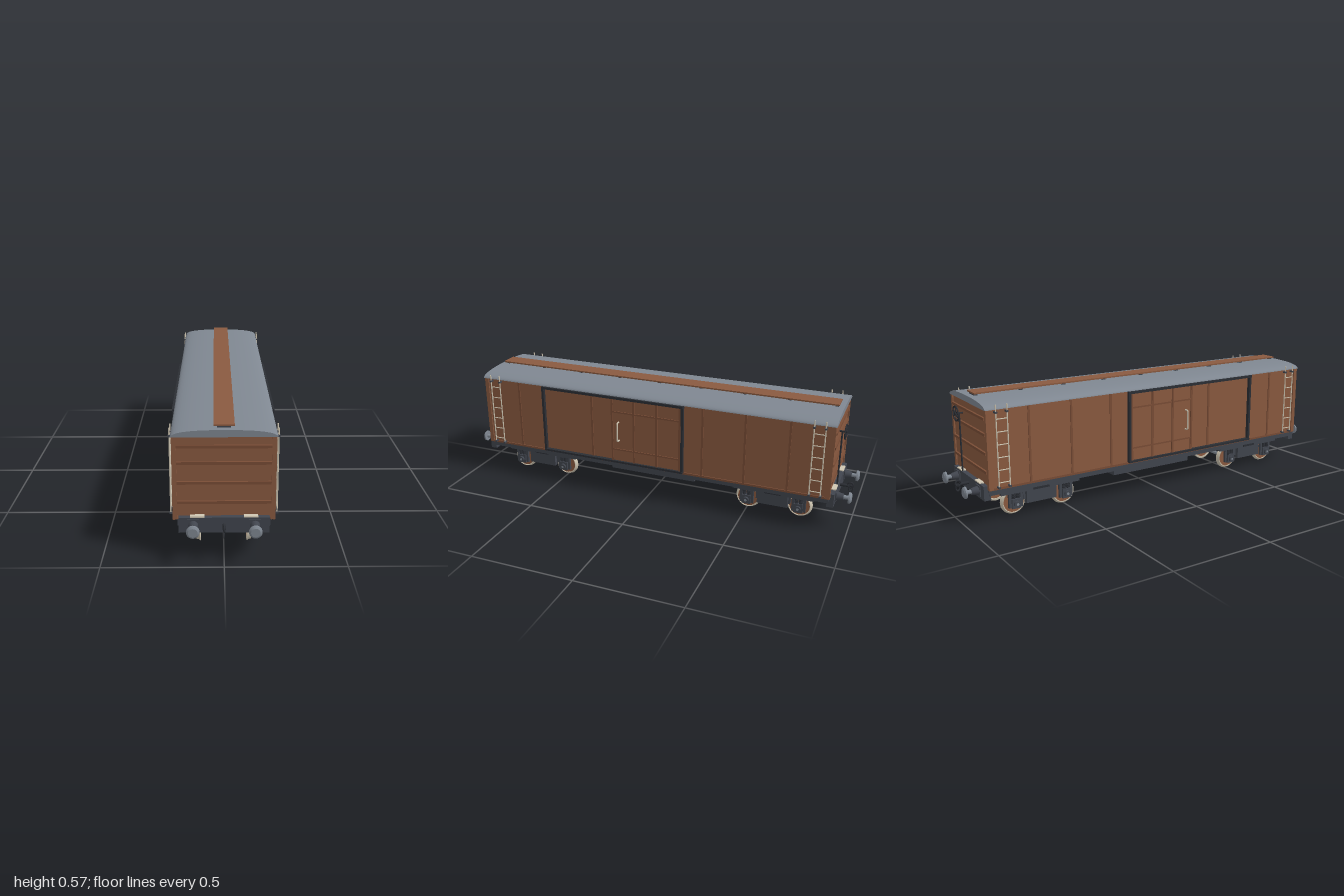
import * as THREE from 'three';

const mat = (name, color, side = THREE.FrontSide) => {
  const m = new THREE.MeshStandardMaterial({ color, side });
  m.name = name;
  return m;
};

export function createModel() {
  const brown = mat('wagon brown', 0x8a5a40);
  const trim = mat('rib brown', 0x7a4d36);
  const grey = mat('roof grey', 0x7f8791);
  const dark = mat('frame grey', 0x41454e);
  const black = mat('rail black', 0x2b2e34);
  const cream = mat('bare metal', 0xcfc6b2);

  const wagon = new THREE.Group();
  wagon.name = 'coveredWagon';

  const add = (parent, name, geo, material, x = 0, y = 0, z = 0) => {
    const m = new THREE.Mesh(geo, material);
    m.name = name;
    m.position.set(x, y, z);
    parent.add(m);
    return m;
  };
  // Box given by its minimum and maximum on each axis
  const box = (parent, name, material, x0, x1, y0, y1, z0, z1) =>
    add(parent, name, new THREE.BoxGeometry(Math.abs(x1 - x0), y1 - y0, Math.abs(z1 - z0)), material,
      (x0 + x1) / 2, (y0 + y1) / 2, (z0 + z1) / 2);
  // Cylinder along a chosen axis
  const rod = (parent, name, material, axis, r, len, x, y, z, r2 = r, seg = 20) => {
    const g = new THREE.CylinderGeometry(r2, r, len, seg);
    if (axis === 'x') g.rotateZ(-Math.PI / 2);
    if (axis === 'z') g.rotateX(Math.PI / 2);
    return add(parent, name, g, material, x, y, z);
  };
  const group = (parent, name) => {
    const g = new THREE.Group();
    g.name = name;
    parent.add(g);
    return g;
  };

  // Body and underframe
  box(wagon, 'body', brown, -0.203, 0.203, 0.168, 0.53, -0.905, 0.905);
  box(wagon, 'underframe', dark, -0.19, 0.19, 0.138, 0.168, -0.905, 0.905);
  box(wagon, 'equipmentBox', dark, -0.12, 0.12, 0.09, 0.139, -0.225, 0.23);

  // Curved roof
  const arc = new THREE.Shape();
  arc.moveTo(-0.213, 0.526);
  arc.lineTo(0.213, 0.526);
  arc.bezierCurveTo(0.209, 0.543, 0.16, 0.556, 0, 0.556);
  arc.bezierCurveTo(-0.16, 0.556, -0.209, 0.543, -0.213, 0.526);
  const roofGeo = new THREE.ExtrudeGeometry(arc, { depth: 1.83, bevelEnabled: false, curveSegments: 20 });
  add(wagon, 'roof', roofGeo, grey, 0, 0, -0.915);

  // Roof walkway on saddles
  box(wagon, 'walkway', brown, -0.042, 0.042, 0.564, 0.571, -0.893, 0.893);
  for (let i = -4; i <= 4; i++)
    box(wagon, 'walkwaySupport', dark, -0.028, 0.028, 0.553, 0.564, i * 0.22 - 0.008, i * 0.22 + 0.008);

  // Sides
  for (const s of [1, -1]) {
    const side = group(wagon, s > 0 ? 'leftSide' : 'rightSide');
    const sbox = (name, m, x0, x1, y0, y1, z0, z1) => box(side, name, m, s * x0, s * x1, y0, y1, z0, z1);
    sbox('sill', trim, 0.2, 0.208, 0.166, 0.176, -0.908, 0.908);
    for (const z of [0.71, 0.294, -0.29, -0.5, -0.71])
      sbox('sideRib', trim, 0.2, 0.207, 0.17, 0.528, z - 0.005, z + 0.005);

    // Door opening rails and sliding door
    sbox('doorTopRail', black, 0.2, 0.223, 0.514, 0.526, -0.196, 0.568);
    sbox('doorBottomRail', black, 0.2, 0.223, 0.174, 0.184, -0.196, 0.568);
    for (const z of [0.563, -0.191])
      sbox('doorPost', black, 0.2, 0.22, 0.174, 0.526, z - 0.006, z + 0.006);
    sbox('slidingDoor', brown, 0.2, 0.212, 0.184, 0.514, -0.186, 0.182);
    for (const z of [0.178, 0.062, -0.058, -0.178])
      sbox('doorRib', trim, 0.205, 0.217, 0.184, 0.514, z - 0.005, z + 0.005);
    for (const y of [0.245, 0.445])
      sbox('doorCrossRib', trim, 0.205, 0.216, y - 0.004, y + 0.004, -0.178, 0.178);
    const grip = new THREE.CatmullRomCurve3([[0.21, 0.295], [0.226, 0.295], [0.232, 0.302], [0.232, 0.386],
      [0.226, 0.393], [0.21, 0.393]].map(([x, y]) => new THREE.Vector3(s * x, y, 0.143)), false, 'catmullrom', 0.2);
    add(side, 'doorHandle', new THREE.TubeGeometry(grip, 30, 0.004, 8), cream);

    // Corner ladders
    for (const e of [1, -1]) {
      const ladder = group(side, 'ladder');
      for (const z of [0.816, 0.868]) {
        rod(ladder, 'ladderRail', cream, 'y', 0.003, 0.375, s * 0.218, 0.361, e * z, 0.003, 8);
        for (const y of [0.178, 0.515])
          box(ladder, 'ladderBracket', dark, s * 0.2, s * 0.224, y - 0.004, y + 0.004, e * z - 0.005, e * z + 0.005);
      }
      for (let i = 0; i < 6; i++)
        rod(ladder, 'rung', cream, 'z', 0.0025, 0.052, s * 0.218, 0.2 + i * 0.057, e * 0.842, 0.0025, 8);
    }
  }

  // Ends, built facing forward and turned for the back
  const loop = new THREE.TorusGeometry(0.013, 0.004, 8, 20);
  for (const e of [1, -1]) {
    const end = group(wagon, e > 0 ? 'frontEnd' : 'backEnd');
    if (e < 0) end.rotation.y = Math.PI;
    for (const y of [0.485, 0.415, 0.33, 0.245])
      box(end, 'endRib', trim, -0.19, 0.19, y - 0.006, y + 0.006, 0.9, 0.914);
    box(end, 'bufferBeam', dark, -0.185, 0.185, 0.117, 0.184, 0.895, 0.927);
    for (const s of [1, -1]) {
      box(end, 'cornerPost', brown, s * 0.19, s * 0.209, 0.168, 0.528, 0.89, 0.911);
      box(end, 'shunterStep', cream, s * 0.08, s * 0.138, 0.184, 0.189, 0.905, 0.927);
      box(end, 'bufferPlate', dark, s * 0.101, s * 0.149, 0.128, 0.176, 0.927, 0.932);
      rod(end, 'bufferHousing', dark, 'z', 0.021, 0.034, s * 0.125, 0.152, 0.946, 0.015);
      rod(end, 'bufferShank', grey, 'z', 0.01, 0.036, s * 0.125, 0.152, 0.974);
      rod(end, 'bufferHead', grey, 'z', 0.027, 0.008, s * 0.125, 0.152, 0.99, 0.027, 28);
      rod(end, 'bufferFace', grey, 'z', 0.027, 0.006, s * 0.125, 0.152, 0.997, 0.019, 28);
    }
    // Draw hook and link
    rod(end, 'drawbar', black, 'z', 0.007, 0.04, 0, 0.152, 0.946);
    const hook = add(end, 'drawHook', loop, black, 0, 0.157, 0.975);
    hook.rotation.y = Math.PI / 2;
    const link = add(end, 'couplingLink', loop, black, 0, 0.137, 0.978);
    link.rotation.y = Math.PI / 2;
    link.scale.set(0.7, 1.2, 0.7);
  }

  // Handbrake on the back end
  const brake = group(wagon, 'handbrake');
  brake.position.set(0.08, 0.46, -0.938);
  add(brake, 'brakeWheel', new THREE.TorusGeometry(0.034, 0.0035, 8, 32), black);
  for (let i = 0; i < 3; i++) {
    const spoke = rod(brake, 'brakeSpoke', black, 'y', 0.0025, 0.068, 0, 0, 0, 0.0025, 8);
    spoke.rotation.z = i * Math.PI / 3;
  }
  rod(brake, 'brakeHub', black, 'z', 0.008, 0.012, 0, 0, 0);
  rod(brake, 'brakeAxle', black, 'z', 0.004, 0.04, 0, 0, 0.014);
  rod(brake, 'brakeColumn', black, 'y', 0.004, 0.285, 0, -0.14, 0.016, 0.004, 10);

  // Bogies
  const tyreGeo = new THREE.LatheGeometry([[0.05, -0.009], [0.061, -0.009], [0.0615, -0.005], [0.057, -0.002],
    [0.055, 0.009], [0.05, 0.009], [0.05, -0.009]].map(([r, y]) => new THREE.Vector2(r, y)), 36);
  tyreGeo.rotateZ(-Math.PI / 2);
  for (const e of [1, -1]) {
    const bogie = group(wagon, e > 0 ? 'frontBogie' : 'backBogie');
    bogie.position.z = e * 0.632;
    box(bogie, 'bolster', dark, -0.128, 0.128, 0.066, 0.112, -0.085, 0.085);
    box(bogie, 'pivot', black, -0.15, 0.15, 0.112, 0.14, -0.04, 0.04);
    for (const s of [1, -1]) {
      box(bogie, 'sideFrame', dark, s * 0.126, s * 0.146, 0.11, 0.129, -0.2, 0.2);
      box(bogie, 'sideFrameCentre', dark, s * 0.124, s * 0.146, 0.052, 0.112, -0.075, 0.075);
    }
    for (const z of [0.128, -0.128]) {
      const set = group(bogie, 'wheelset');
      set.position.set(0, 0.0615, z);
      rod(set, 'axle', grey, 'x', 0.009, 0.29, 0, 0, 0);
      for (const s of [1, -1]) {
        const tyre = add(set, 'tyre', tyreGeo, cream, s * 0.107, 0, 0);
        if (s < 0) tyre.rotation.y = Math.PI;
        rod(set, 'wheelDisc', brown, 'x', 0.0505, 0.014, s * 0.107, 0, 0, 0.0505, 36);
        rod(set, 'wheelHub', brown, 'x', 0.016, 0.022, s * 0.107, 0, 0);
        // Axle box between guides with springs above
        box(set, 'axleBox', dark, s * 0.126, s * 0.152, -0.022, 0.024, -0.022, 0.022);
        rod(set, 'axleBoxCap', dark, 'x', 0.015, 0.012, s * 0.156, 0, 0);
        rod(set, 'axleBoxBolt', grey, 'x', 0.006, 0.003, s * 0.1625, 0, 0, 0.006, 12);
        for (const g of [1, -1]) {
          box(set, 'axleGuide', dark, s * 0.129, s * 0.143, -0.02, 0.05, g * 0.022, g * 0.034);
          for (let i = 0; i < 4; i++) {
            const coil = add(set, 'springCoil', new THREE.TorusGeometry(0.008, 0.003, 6, 14), black,
              s * 0.139, 0.027 + i * 0.006, g * 0.011);
            coil.rotation.x = Math.PI / 2;
          }
        }
      }
    }
  }
  return wagon;
}
